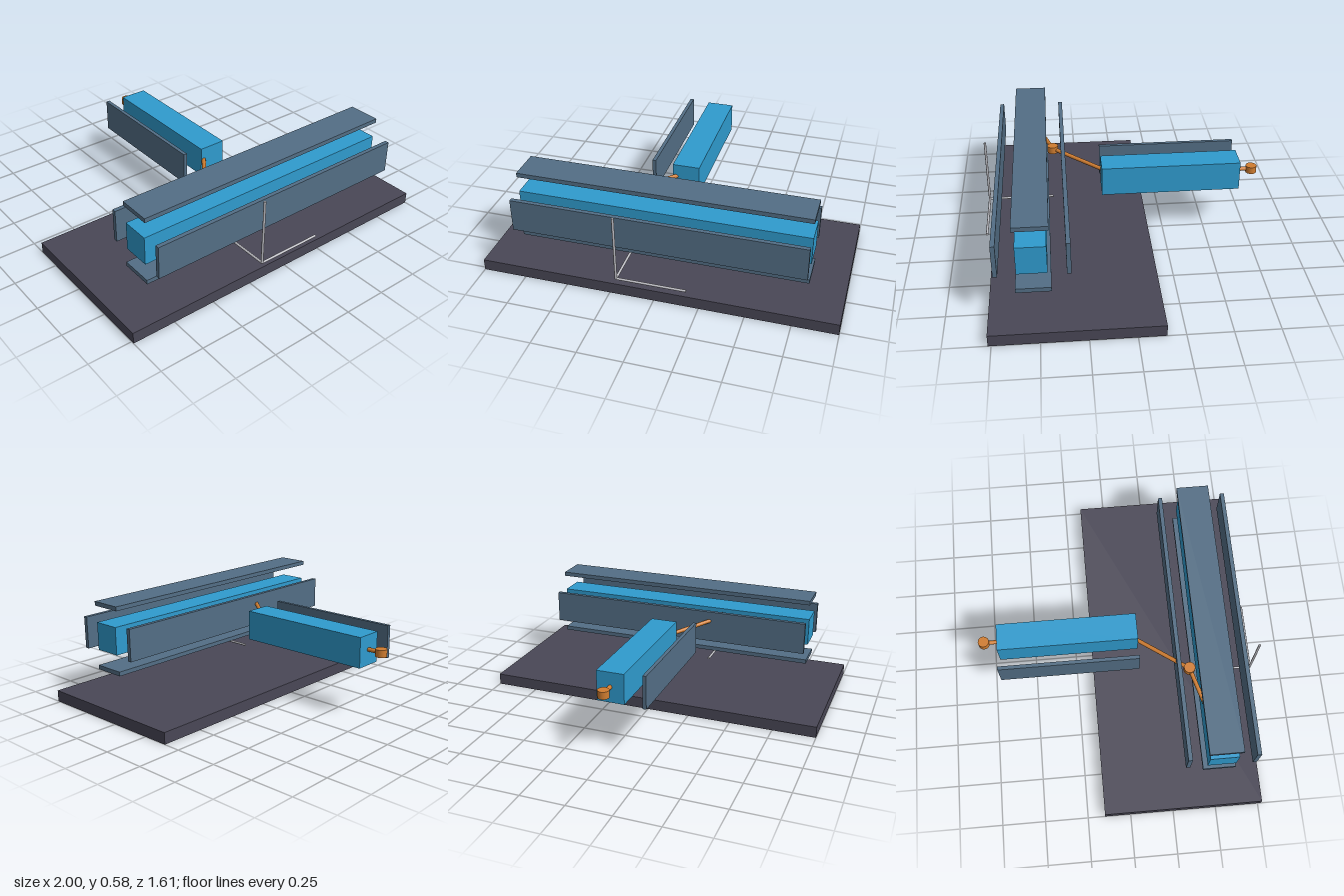
import * as THREE from 'three';

const mat = (name, color) => {
  const m = new THREE.MeshStandardMaterial({ color });
  m.name = name;
  return m;
};

export function createModel() {
  const model = new THREE.Group();
  const charcoal = mat('charcoal', 0x494756);
  const slate = mat('slate blue', 0x536e85);
  const blue = mat('bright blue', 0x2f9bce);
  const orange = mat('orange', 0xd07d30);
  const grey = mat('light grey', 0xbcbcc2);

  const add = (name, geometry, material, parent = model) => {
    const mesh = new THREE.Mesh(geometry, material);
    mesh.name = name;
    parent.add(mesh);
    return mesh;
  };

  // Box given by its extents on each axis
  const box = (name, material, [x0, x1], [y0, y1], [z0, z1]) => {
    const mesh = add(name, new THREE.BoxGeometry(x1 - x0, y1 - y0, z1 - z0), material);
    mesh.position.set((x0 + x1) / 2, (y0 + y1) / 2, (z0 + z1) / 2);
    return mesh;
  };

  // Round bar between two points
  const rod = (name, material, from, to, radius, parent = model) => {
    const a = new THREE.Vector3(...from);
    const d = new THREE.Vector3(...to).sub(a);
    const mesh = add(name, new THREE.CylinderGeometry(radius, radius, d.length(), 12), material, parent);
    mesh.position.copy(a).addScaledVector(d, 0.5);
    mesh.quaternion.setFromUnitVectors(new THREE.Vector3(0, 1, 0), d.normalize());
    return mesh;
  };

  box('basePlate', charcoal, [-1, 1], [0, 0.066], [-0.15, 0.767]);

  // Long beam enclosed by four separate plates
  const span = [-0.81, 0.81];
  box('mainBeam', blue, span, [0.3, 0.463], [0.448, 0.61]);
  box('topPlate', slate, span, [0.559, 0.584], [0.432, 0.62]);
  box('bottomPlate', slate, span, [0.18, 0.205], [0.432, 0.62]);
  box('frontPlate', slate, span, [0.287, 0.476], [0.705, 0.729]);
  box('backPlate', slate, span, [0.287, 0.476], [0.326, 0.35]);

  // Rear beam with one side plate
  const rear = [-0.69, 0.12];
  box('rearBeam', blue, [-0.08, 0.077], [0.293, 0.467], rear);
  box('rearSidePlate', slate, [-0.203, -0.182], [0.287, 0.476], rear);

  // Linkage: rods joined by round pivots
  const linkage = new THREE.Group();
  linkage.name = 'linkage';
  model.add(linkage);
  const elbow = [-0.27, 0.425, 0.397];
  const tail = [0, 0.383, -0.773];
  rod('frontLink', orange, elbow, [-0.5, 0.415, 0.465], 0.012, linkage);
  rod('middleLink', orange, elbow, [-0.04, 0.388, 0.09], 0.012, linkage);
  rod('tailLink', orange, [0, 0.383, -0.66], tail, 0.012, linkage);
  for (const [name, p] of [['elbowPivot', elbow], ['tailPivot', tail]]) {
    add(name, new THREE.CylinderGeometry(0.032, 0.032, 0.042, 20), orange, linkage).position.set(...p);
  }

  // Three-legged corner marker
  const marker = new THREE.Group();
  marker.name = 'cornerMarker';
  model.add(marker);
  const corner = [-0.197, 0.132, 0.797];
  rod('markerX', grey, corner, [0.192, 0.132, 0.797], 0.007, marker);
  rod('markerY', grey, corner, [-0.197, 0.522, 0.797], 0.007, marker);
  rod('markerZ', grey, corner, [-0.197, 0.132, 0.408], 0.007, marker);

  return model;
}
